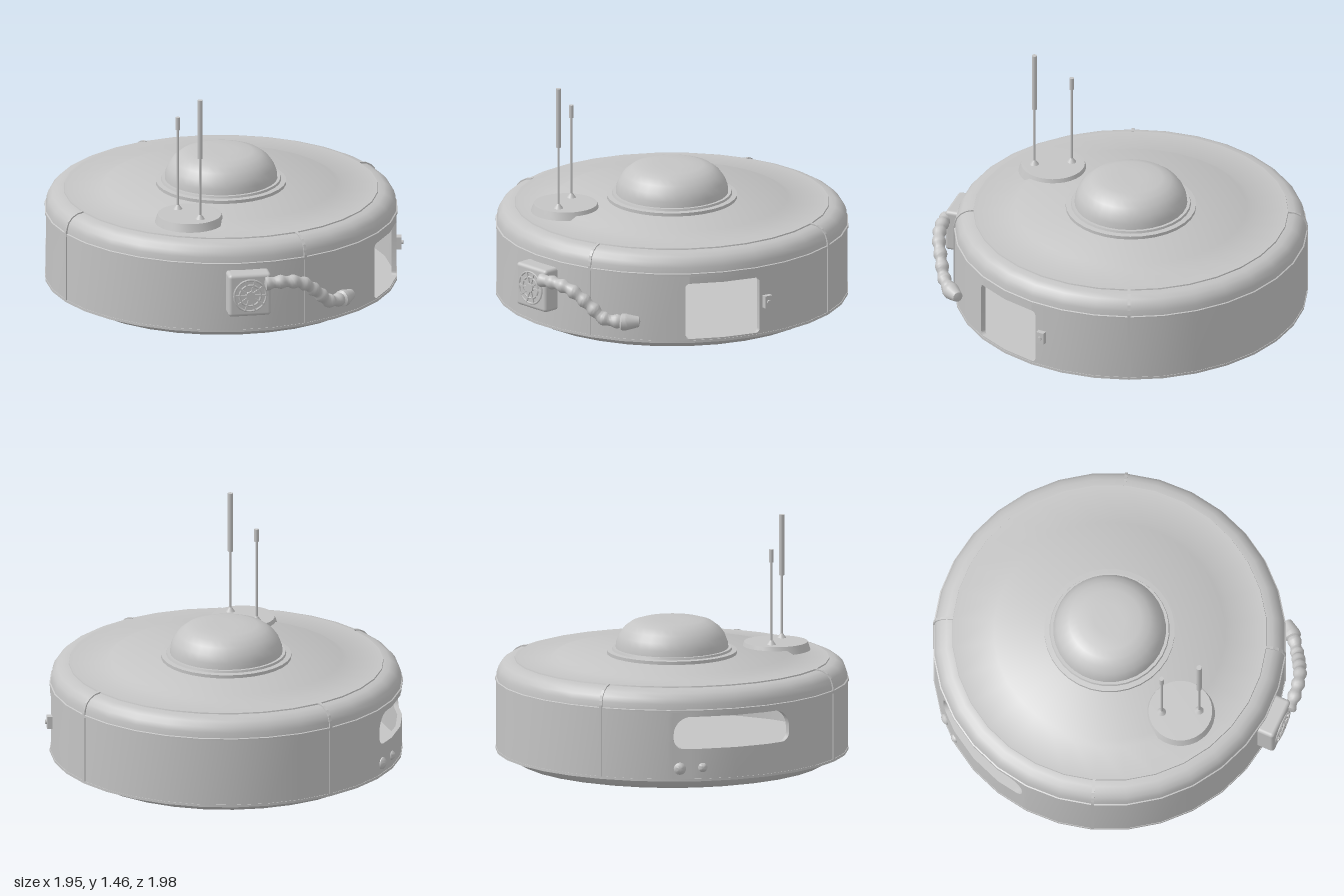
import * as THREE from 'three';
import { toCreasedNormals } from 'three/addons/utils/BufferGeometryUtils.js';
import { RoundedBoxGeometry } from 'three/addons/geometries/RoundedBoxGeometry.js';

const SIDES = 32, STEP = Math.PI * 2 / SIDES;
const OUTER = 0.972, INNER = 0.945, WALL_LOW = 0.212, WALL_HIGH = 0.6;

// Openings in the wall: angle from +z towards +x, half width in radians, corner radii
const HOLES = [
  { angle: Math.PI / 2, half: 0.222, low: 0.23, high: 0.55, lowR: 0.02, highR: 0.025 },
  { angle: Math.PI * 1.5, half: 0.36, low: 0.39, high: 0.57, lowR: 0.05, highR: 0.1 },
];

const grey = new THREE.MeshStandardMaterial({ color: 0xc4c4c4, side: THREE.DoubleSide });
grey.name = 'light grey';

function add(parent, name, geometry, x = 0, y = 0, z = 0) {
  const mesh = new THREE.Mesh(geometry, grey);
  mesh.name = name;
  mesh.position.set(x, y, z);
  parent.add(mesh);
  return mesh;
}

function lathe(points, sides = SIDES, crease = 0.7) {
  return toCreasedNormals(new THREE.LatheGeometry(points.map(p => new THREE.Vector2(...p)), sides), crease);
}

// Point on the many-sided ring at any angle
function ringPoint(a, y, r) {
  const local = ((a % STEP) + STEP) % STEP - STEP / 2;
  const rr = r * Math.cos(STEP / 2) / Math.cos(local);
  return [rr * Math.sin(a), y, rr * Math.cos(a)];
}

function holeSpan(hole, a) {
  const inset = r => {
    const d = Math.abs(a - hole.angle) * OUTER - (hole.half * OUTER - r);
    return d > 0 ? r - Math.sqrt(Math.max(0, r * r - d * d)) : 0;
  };
  return [hole.low + inset(hole.lowR), hole.high - inset(hole.highR)];
}

// Thick wall built column by column around its openings
function wallGeometry() {
  const angles = [];
  for (let i = 0; i <= SIDES; i++) angles.push(i * STEP);
  for (const h of HOLES) {
    for (let i = 0; i <= 8; i++) {
      const off = h.half - (1 - Math.cos(i / 8 * Math.PI / 2)) * h.highR / OUTER;
      angles.push(h.angle - off, h.angle + off);
    }
  }
  angles.sort((a, b) => a - b);
  const pos = [];
  const quad = (a, b, c, d) => pos.push(...a, ...b, ...c, ...a, ...c, ...d);
  const band = (a, b, la, lb, ha, hb) => {
    const o = (t, y) => ringPoint(t, y, OUTER), n = (t, y) => ringPoint(t, y, INNER);
    quad(o(a, la), o(b, lb), o(b, hb), o(a, ha));
    quad(n(b, lb), n(a, la), n(a, ha), n(b, hb));
    quad(o(a, ha), o(b, hb), n(b, hb), n(a, ha));
    quad(n(a, la), n(b, lb), o(b, lb), o(a, la));
  };
  for (let i = 0; i + 1 < angles.length; i++) {
    const a = angles[i], b = angles[i + 1];
    if (b - a < 1e-6) continue;
    const hole = HOLES.find(h => Math.abs((a + b) / 2 - h.angle) < h.half);
    if (!hole) { band(a, b, WALL_LOW, WALL_LOW, WALL_HIGH, WALL_HIGH); continue; }
    const [la, ha] = holeSpan(hole, a), [lb, hb] = holeSpan(hole, b);
    band(a, b, WALL_LOW, WALL_LOW, la, lb);
    band(a, b, ha, hb, WALL_HIGH, WALL_HIGH);
  }
  // Upright jambs at both ends of each opening
  for (const h of HOLES) {
    for (const s of [-1, 1]) {
      const a = h.angle + s * h.half, [lo, hi] = holeSpan(h, a);
      const c = [ringPoint(a, lo, OUTER), ringPoint(a, lo, INNER), ringPoint(a, hi, INNER), ringPoint(a, hi, OUTER)];
      if (s > 0) c.reverse();
      quad(...c);
    }
  }
  const g = new THREE.BufferGeometry();
  g.setAttribute('position', new THREE.Float32BufferAttribute(pos, 3));
  return toCreasedNormals(g, 0.5);
}

function addAntenna(parent, x, z, sleeveLow, top, radius) {
  const group = new THREE.Group();
  group.name = 'antenna';
  group.position.set(x, 0, z);
  add(group, 'antennaFoot', new THREE.CylinderGeometry(0.008, 0.026, 0.025, 14), 0, 0.78, 0);
  add(group, 'antennaRod', new THREE.CylinderGeometry(0.007, 0.007, sleeveLow - 0.77, 10), 0, (sleeveLow + 0.77) / 2, 0);
  add(group, 'antennaSleeve', new THREE.CylinderGeometry(radius, radius, top - sleeveLow, 12), 0, (top + sleeveLow) / 2, 0);
  parent.add(group);
}

// Ribbed hose: a tube whose rings swell and taper along its path
function hoseGeometry() {
  const curve = new THREE.CatmullRomCurve3([
    [0.52, 0.51, 0.895], [0.61, 0.515, 0.845], [0.70, 0.495, 0.775], [0.765, 0.42, 0.69],
    [0.81, 0.35, 0.62], [0.855, 0.335, 0.53], [0.885, 0.335, 0.43],
  ].map(p => new THREE.Vector3(...p)));
  const rings = 84, sides = 14, g = new THREE.TubeGeometry(curve, rings, 0.036, sides);
  const pos = g.attributes.position, v = new THREE.Vector3();
  for (let i = 0; i <= rings; i++) {
    const t = i / rings, centre = curve.getPointAt(t);
    let s = 0.97 + 0.13 * Math.sin(t * Math.PI * 18);
    if (t > 0.84) s = t < 0.89 ? 1.3 : 1.25 - (t - 0.89) * 4.5;
    if (i === 0 || i === rings) s = 0;
    for (let j = 0; j <= sides; j++) {
      const k = i * (sides + 1) + j;
      v.fromBufferAttribute(pos, k).sub(centre).multiplyScalar(s).add(centre);
      pos.setXYZ(k, v.x, v.y, v.z);
    }
  }
  return toCreasedNormals(g, 0.8);
}

export function createModel() {
  const model = new THREE.Group();
  model.name = 'saucer';
  const body = new THREE.Group();
  body.name = 'body';
  body.position.z = -0.025;
  model.add(body);

  // Hull: underside with floor, wall, roof with ceiling, dome
  add(body, 'underside', lathe([
    [0, 0.17], [0.26, 0.17], [0.26, 0.135], [0.33, 0.13], [0.35, 0.077], [0.47, 0.075], [0.52, 0.085],
    [0.555, 0.105], [0.57, 0.137], [0.79, 0.137], [0.85, 0.15], [0.89, 0.172], [0.925, 0.208],
    [0.975, 0.208], [0.975, 0.222], [0, 0.222],
  ]));
  add(body, 'wall', wallGeometry());
  add(body, 'roof', lathe([
    [0, 0.594], [0.977, 0.594], [0.977, 0.607], [0.97, 0.61], [0.967, 0.64], [0.957, 0.67], [0.935, 0.695],
    [0.905, 0.711], [0.87, 0.715], [0.868, 0.722], [0.675, 0.722], [0.64, 0.745], [0, 0.745],
  ]));
  add(body, 'domeCollar', lathe([
    [0.36, 0.74], [0.36, 0.763], [0.332, 0.766], [0.328, 0.778], [0, 0.778],
  ]));
  add(body, 'dome', lathe([
    [0.312, 0.775], [0.308, 0.81], [0.293, 0.85], [0.265, 0.888], [0.225, 0.918], [0.175, 0.933], [0.09, 0.936], [0, 0.937],
  ]));

  // Seam ribs at the four corners
  const rib = new THREE.Shape([
    [0.95, 0.222], [0.978, 0.222], [0.978, 0.62], [0.973, 0.645], [0.962, 0.675], [0.939, 0.7],
    [0.907, 0.717], [0.868, 0.724], [0.868, 0.7], [0.95, 0.62],
  ].map(p => new THREE.Vector2(...p)));
  const ribGeometry = new THREE.ExtrudeGeometry(rib, { depth: 0.016, bevelEnabled: false }).translate(0, 0, -0.008);
  for (let i = 0; i < 4; i++) add(body, 'seamRib', ribGeometry).rotation.y = Math.PI / 4 + i * Math.PI / 2;

  // Nozzle beneath, with radial blades
  add(body, 'nozzle', lathe([
    [0, 0.04], [0.1, 0.034], [0.12, 0.014], [0.137, 0.014], [0.137, 0.034], [0.117, 0.04], [0.117, 0.05],
    [0.128, 0.056], [0.124, 0.072], [0.11, 0.078], [0.11, 0.17],
  ], 24));
  add(body, 'nozzleHub', new THREE.CylinderGeometry(0.02, 0.014, 0.04, 12), 0, 0.02, 0);
  for (let i = 0; i < 3; i++) {
    add(body, 'nozzleBlade', new THREE.BoxGeometry(0.13, 0.032, 0.012), 0, 0.022, 0).rotation.y = i * Math.PI / 3;
  }

  // Antenna plate and pair of antennas
  add(model, 'antennaPlate', lathe([[0.192, 0.718], [0.18, 0.755], [0.176, 0.767], [0, 0.77]]), 0, 0, 0.59);
  addAntenna(model, -0.085, 0.53, 1.23, 1.302, 0.013);
  addAntenna(model, 0.08, 0.655, 1.12, 1.46, 0.015);

  // Vent box with round grille
  const vent = new THREE.Group();
  vent.name = 'ventBox';
  vent.position.set(0.425, 0.446, 0.88);
  vent.rotation.y = 0.46;
  model.add(vent);
  add(vent, 'ventCase', new RoundedBoxGeometry(0.24, 0.245, 0.11, 3, 0.02));
  for (const r of [0.09, 0.06]) add(vent, 'grilleRing', new THREE.TorusGeometry(r, 0.006, 6, 28), 0, 0, 0.057);
  add(vent, 'grilleHub', new THREE.CylinderGeometry(0.025, 0.028, 0.016, 16), 0, 0, 0.06).rotation.x = Math.PI / 2;
  for (let i = 0; i < 5; i++) {
    add(vent, 'grilleSpoke', new THREE.BoxGeometry(0.18, 0.009, 0.01), 0, 0, 0.058).rotation.z = i * Math.PI / 5;
  }
  add(model, 'hose', hoseGeometry());

  // Door switch and two round lamps on the sides
  const control = add(body, 'doorSwitch', new THREE.BoxGeometry(0.05, 0.07, 0.046), 0.937, 0.405, -0.257);
  control.rotation.y = 0.27;
  add(control, 'switchButton', new THREE.CylinderGeometry(0.012, 0.012, 0.014, 12), 0.027, 0, 0).rotation.z = Math.PI / 2;
  for (const [deg, r, y] of [[18.6, 0.034, 0.28], [11.1, 0.026, 0.285]]) {
    const a = deg * Math.PI / 180;
    const lamp = add(body, 'sideLamp', lathe([
      [r, -0.02], [r, 0.006], [r * 0.8, 0.013], [r * 0.5, 0.02], [0, 0.023],
    ], 16), -0.968 * Math.cos(a), y, -0.968 * Math.sin(a));
    lamp.rotation.set(0, -a, Math.PI / 2);
  }
  return model;
}
